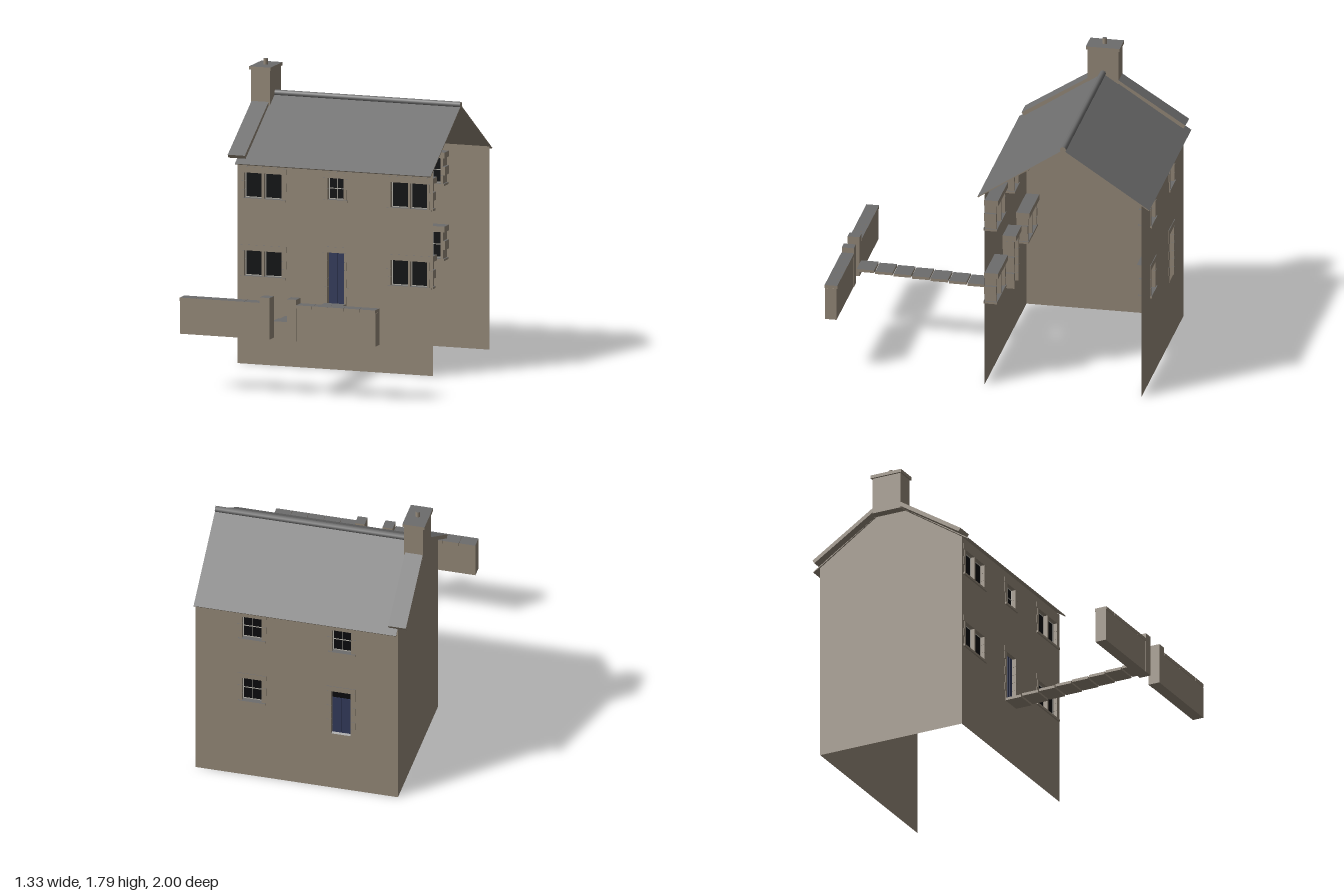
import * as THREE from 'three';

const make = (name, color, side = THREE.FrontSide) => {
  const m = new THREE.MeshStandardMaterial({ color, side });
  m.name = name;
  return m;
};

export function createModel() {
  const model = new THREE.Group();
  model.name = 'cottage';
  const stone = make('stone', 0x958979, THREE.DoubleSide);
  const slate = make('slate', 0x6c6c6c);
  const glass = make('darkGlass', 0x0b0c0e);
  const frameMat = make('windowFrame', 0xb4b1a8);
  const doorMat = make('doorBlue', 0x333b5c);
  // weathered stone: grey on top, warm on the other faces
  const capped = [stone, stone, slate, stone, stone, stone];

  // box given by its limits on each axis
  const box = (parent, name, mat, x0, x1, y0, y1, z0, z1) => {
    const mesh = new THREE.Mesh(new THREE.BoxGeometry(x1 - x0, y1 - y0, z1 - z0), mat);
    mesh.position.set((x0 + x1) / 2, (y0 + y1) / 2, (z0 + z1) / 2);
    mesh.name = name;
    parent.add(mesh);
    return mesh;
  };

  const X0 = -0.6, X1 = 0.66, FRONT = 0.015, BACK = -0.95, EAVE = 1.245;
  const RIDGE_Z = -0.467, RIDGE_Y = 1.575;

  // stone surround around an opening, flush outside and projecting indoors
  const surround = (g, o) => {
    const { x0, x1, y0, y1 } = o, out = 0.004, back = -0.07;
    box(g, 'lintel', capped, x0 - 0.03, x1 + 0.03, y1, y1 + 0.035, back - 0.012, out);
    if (o.type !== 'door') {
      box(g, 'sill', capped, x0 - 0.025, x1 + 0.025, y0 - 0.013, y0, back - 0.005, out + 0.006);
    }
    const n = Math.max(2, Math.round((y1 - y0) / 0.055)), h = (y1 - y0) / n;
    for (let i = 0; i < n; i++) {
      const w = i % 2 ? 0.03 : 0.016, a = y0 + i * h;
      box(g, 'jambStone', capped, x0 - w, x0, a, a + h - 0.001, back, out);
      box(g, 'jambStone', capped, x1, x1 + w, a, a + h - 0.001, back, out);
    }
  };

  // one sash with a thin frame, optionally divided into four panes
  const sash = (g, x0, x1, y0, y1, cross) => {
    const t = 0.005, za = -0.032, zb = -0.022, xm = (x0 + x1) / 2, ym = (y0 + y1) / 2;
    box(g, 'glass', glass, x0, x1, y0, y1, -0.03, -0.025);
    const bars = [[x0, x0 + t, y0, y1], [x1 - t, x1, y0, y1], [x0, x1, y0, y0 + t], [x0, x1, y1 - t, y1]];
    if (cross) bars.push([xm - t / 2, xm + t / 2, y0, y1], [x0, x1, ym - t / 2, ym + t / 2]);
    bars.forEach(b => box(g, 'sashBar', frameMat, ...b, za, zb));
  };

  // boarded door, with an optional dark light above it
  const door = (g, o) => {
    const top = o.light ? o.y1 - 0.06 : o.y1, n = 4, w = (o.x1 - o.x0) / n;
    box(g, 'doorLeaf', doorMat, o.x0, o.x1, o.y0, top, -0.035, -0.026);
    for (let i = 0; i < n; i++) {
      box(g, 'doorBoard', doorMat, o.x0 + i * w + 0.001, o.x0 + (i + 1) * w - 0.001, o.y0, top, -0.027, -0.022);
    }
    if (o.light) box(g, 'doorLight', glass, o.x0, o.x1, top, o.y1, -0.033, -0.025);
  };

  // wall sheet in local coordinates facing +z, with its openings
  const wall = (name, xa, xb, openings) => {
    const g = new THREE.Group();
    g.name = name;
    const rect = (P, a, b, c, d) => {
      const p = new P();
      p.moveTo(a, c); p.lineTo(b, c); p.lineTo(b, d); p.lineTo(a, d); p.closePath();
      return p;
    };
    const shape = rect(THREE.Shape, xa, xb, 0, EAVE);
    openings.forEach(o => shape.holes.push(rect(THREE.Path, o.x0, o.x1, o.y0, o.y1)));
    const sheet = new THREE.Mesh(new THREE.ShapeGeometry(shape), stone);
    sheet.name = name + 'Sheet';
    g.add(sheet);
    openings.forEach(o => {
      const og = new THREE.Group();
      og.name = o.type + 'Opening';
      g.add(og);
      surround(og, o);
      if (o.type === 'door') door(og, o);
      else if (o.type === 'single') sash(og, o.x0, o.x1, o.y0, o.y1, true);
      else {
        const m = (o.x0 + o.x1) / 2, t = 0.007;
        sash(og, o.x0, m - t, o.y0, o.y1, false);
        sash(og, m + t, o.x1, o.y0, o.y1, false);
        box(og, 'mullion', stone, m - t, m + t, o.y0, o.y1, -0.07, 0.003);
      }
    });
    model.add(g);
    return g;
  };
  const opening = (type, x0, x1, y0, y1, light) => ({ type, x0, x1, y0, y1, light });

  const frontOpenings = [
    opening('single', -0.017, 0.087, 1.04, 1.172),
    opening('door', -0.02, 0.09, 0.4, 0.715),
  ];
  for (const [a, b] of [[-0.555, -0.315], [0.388, 0.625]]) {
    frontOpenings.push(opening('double', a, b, 1.017, 1.172), opening('double', a, b, 0.54, 0.695));
  }
  wall('frontWall', X0, X1, frontOpenings).position.z = FRONT;

  // back wall is turned round, so its x values are mirrored
  const backWall = wall('backWall', -X1, -X0, [
    opening('single', -0.37, -0.25, 1.01, 1.168),
    opening('single', 0.19, 0.31, 1.01, 1.168),
    opening('single', -0.37, -0.25, 0.55, 0.715),
    opening('door', 0.185, 0.305, 0.4, 0.715, true),
  ]);
  backWall.rotation.y = Math.PI;
  backWall.position.z = BACK;

  // gable on the chimney side; the other end is open
  const gableShape = new THREE.Shape([
    [-FRONT, 0], [-BACK, 0], [-BACK, EAVE], [-RIDGE_Z, RIDGE_Y - 0.01], [-FRONT, EAVE],
  ].map(p => new THREE.Vector2(...p)));
  const gable = new THREE.Mesh(new THREE.ShapeGeometry(gableShape), stone);
  gable.name = 'gableWall';
  gable.rotation.y = Math.PI / 2;
  gable.position.x = X0;
  model.add(gable);

  // sloping slab from the ridge to an eave
  const slope = (name, x0, x1, yE, zE, yR, thick) => {
    const dy = yE - yR, dz = zE - RIDGE_Z;
    const m = new THREE.Mesh(new THREE.BoxGeometry(x1 - x0, thick, Math.hypot(dy, dz)), capped);
    m.position.set((x0 + x1) / 2, (yE + yR) / 2, (zE + RIDGE_Z) / 2);
    m.rotation.x = -Math.atan(dy / dz);
    m.name = name;
    model.add(m);
  };
  slope('frontRoof', X0, X1, 1.226, 0.057, RIDGE_Y, 0.006);
  slope('backRoof', X0, X1, 1.226, -0.998, RIDGE_Y, 0.006);
  slope('frontGableCoping', -0.655, -0.545, 1.266, 0.028, 1.584, 0.024);
  slope('backGableCoping', -0.655, -0.545, 1.266, -0.968, 1.584, 0.024);

  const ridge = new THREE.Mesh(new THREE.CylinderGeometry(0.019, 0.019, X1 + 0.55, 10), [slate, stone, stone]);
  ridge.name = 'ridgeTile';
  ridge.rotation.z = Math.PI / 2;
  ridge.position.set((X1 - 0.55) / 2, 1.58, RIDGE_Z);
  model.add(ridge);

  // chimney
  box(model, 'chimneyStack', capped, -0.657, -0.537, 1.5, 1.732, -0.563, -0.373);
  box(model, 'chimneyCap', capped, -0.668, -0.53, 1.73, 1.75, -0.572, -0.364);
  const pot = new THREE.Mesh(new THREE.CylinderGeometry(0.014, 0.014, 0.04, 12), [stone, slate, stone]);
  pot.name = 'chimneyPot';
  pot.position.set(-0.6, 1.766, RIDGE_Z);
  model.add(pot);

  // path of slabs climbing away from the door
  for (let i = 0; i < 8; i++) {
    const z = 0.015 + i * 0.1135, y = 0.4 + i * 0.0056;
    box(model, 'pathSlab', capped, -0.035, 0.102, y - 0.012, y + 0.005, z, z + 0.107);
  }

  // garden walls with coping stones and gate posts
  for (const [a, b, p0, p1, name] of [
    [X0, -0.085, -0.085, -0.022, 'rightGardenWall'],
    [0.15, X1, 0.09, 0.15, 'leftGardenWall'],
  ]) {
    const g = new THREE.Group();
    g.name = name;
    model.add(g);
    box(g, 'wallBody', stone, a, b, 0.345, 0.547, 0.926, 0.997);
    box(g, 'gatePost', capped, p0, p1, 0.345, 0.6, 0.924, 0.998);
    const n = Math.round((b - a) / 0.094), w = (b - a) / n;
    for (let i = 0; i < n; i++) {
      box(g, 'copingStone', capped, a + i * w, a + (i + 1) * w - 0.002, 0.547, 0.567, 0.922, 1.0);
    }
  }
  return model;
}
